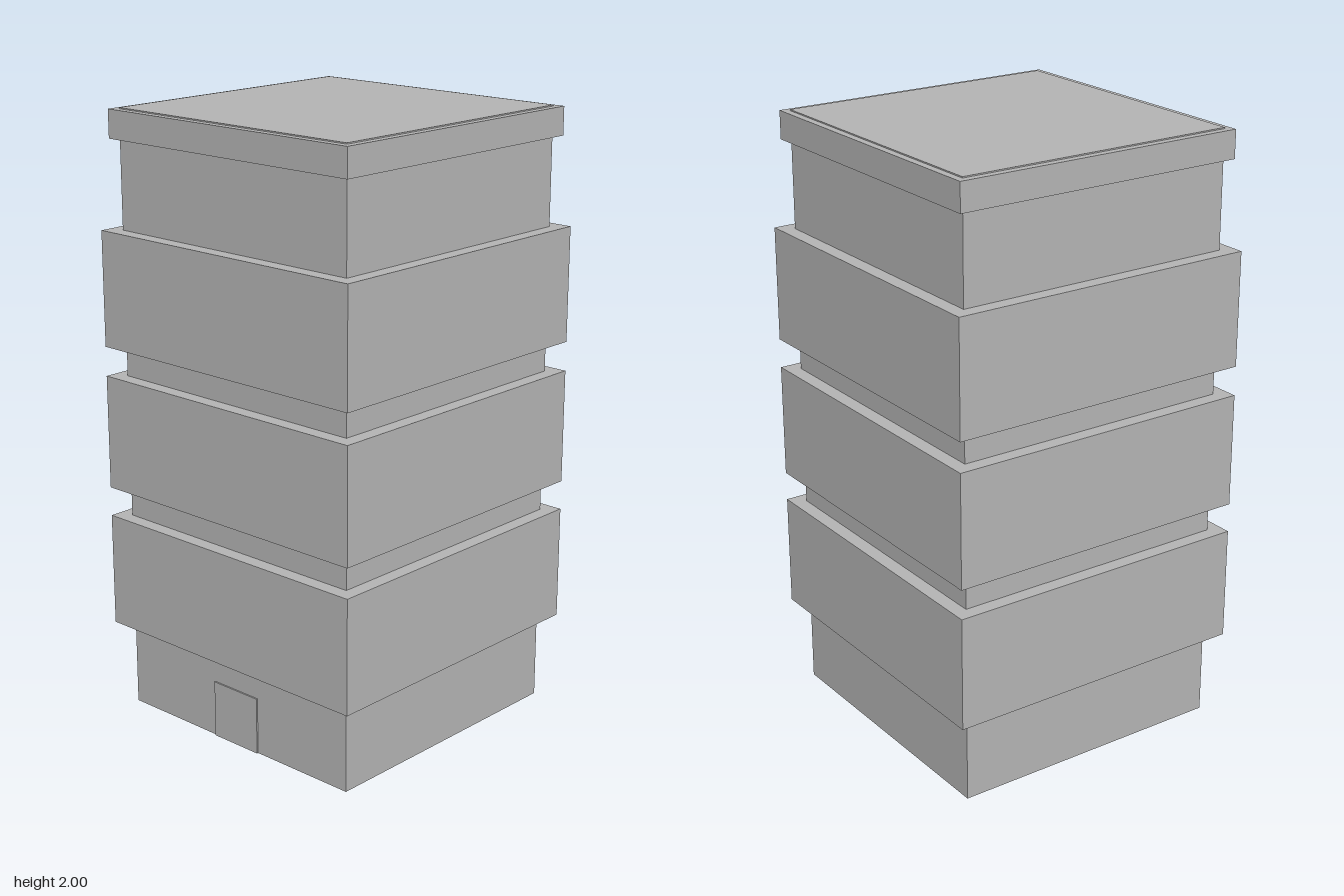
import * as THREE from 'three';

export function createModel() {
  const model = new THREE.Group();
  const concrete = new THREE.MeshStandardMaterial({ color: 0xb3b3b3 });
  concrete.name = 'concreteGrey';

  // Box spanning the heights y0 to y1
  function addBlock(name, width, depth, y0, y1, z = 0) {
    const mesh = new THREE.Mesh(new THREE.BoxGeometry(width, y1 - y0, depth), concrete);
    mesh.name = name;
    mesh.position.set(0, (y0 + y1) / 2, z);
    model.add(mesh);
  }

  // Square core, rising just above the roof rim
  addBlock('towerCore', 0.949, 0.949, 0, 2);

  // Three wider storeys, evenly stacked
  for (let i = 0; i < 3; i++) {
    const y = 0.288 + i * 0.475;
    addBlock('storey' + (i + 1), 1.044, 1.044, y, y + 0.378);
  }

  // Rim around the roof
  addBlock('roofRim', 0.997, 0.997, 1.904, 1.996);

  // Thin door plate on the front
  addBlock('door', 0.19, 0.009, 0, 0.19, 0.475);

  return model;
}
